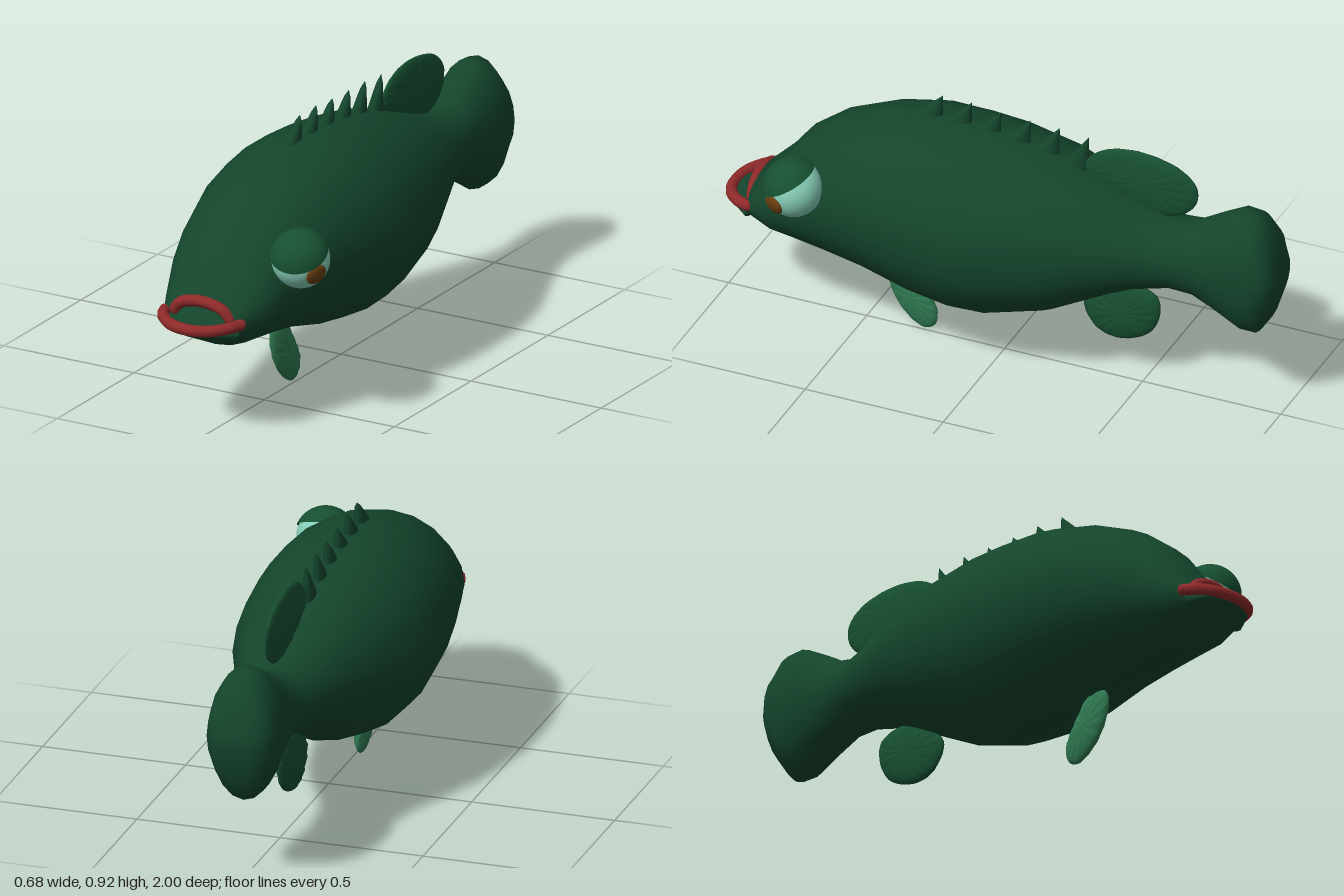
import * as THREE from 'three';

const MID = -0.015; // the body's middle plane in x
const paint = (color) => new THREE.MeshStandardMaterial({ color, roughness: 0.8 });
const green = paint(0x14452c), finGreen = paint(0x174f32), paleGreen = paint(0x2f7a52);
const red = paint(0x8f2a2a), eyeWhite = paint(0x86cdb8), brown = paint(0x6b3f10);

// Closed loft through elliptical rings: [z, top, bottom, half width]
function loft(sections, sides) {
  const pos = [], index = [];
  for (const [z, top, bottom, w] of sections) {
    for (let k = 0; k < sides; k++) {
      const a = (k / sides) * Math.PI * 2;
      pos.push(MID + w * Math.cos(a), (top + bottom) / 2 + ((top - bottom) / 2) * Math.sin(a), z);
    }
  }
  for (let i = 0; i < sections.length - 1; i++) {
    for (let k = 0; k < sides; k++) {
      const a = i * sides + k, b = i * sides + ((k + 1) % sides);
      index.push(a, a + sides, b, b, a + sides, b + sides);
    }
  }
  const g = new THREE.BufferGeometry();
  g.setAttribute('position', new THREE.Float32BufferAttribute(pos, 3));
  g.setIndex(index);
  g.computeVertexNormals();
  return g;
}

// Lens-shaped fin: a sphere stretched to a [z, y] outline, with ribs fanning from its middle
function finGeometry(outline, thickness, ribs) {
  const curve = new THREE.CatmullRomCurve3(outline.map(([z, y]) => new THREE.Vector3(0, y, z)), true);
  const c = new THREE.Vector3();
  outline.forEach(([z, y]) => c.add(new THREE.Vector3(0, y, z)));
  c.divideScalar(outline.length);
  const g = new THREE.SphereGeometry(1, 48, 14).rotateZ(Math.PI / 2);
  const p = g.attributes.position;
  for (let i = 0; i < p.count; i++) {
    const x = p.getX(i), y = p.getY(i), z = p.getZ(i);
    const angle = Math.atan2(y, z), r = Math.min(1, Math.hypot(y, z));
    const edge = curve.getPoint((angle / (Math.PI * 2) + 1) % 1);
    const rib = 1 + 0.15 * r * Math.sin(angle * ribs);
    p.setXYZ(i, MID + thickness * x * rib, c.y + r * (edge.y - c.y), c.z + r * (edge.z - c.z));
  }
  g.computeVertexNormals();
  return g;
}

// Rounded lip along a curve, with ball ends
function lip(name, points, radius) {
  const group = new THREE.Group();
  group.name = name;
  const pts = points.map((p) => new THREE.Vector3(...p));
  const curve = new THREE.CatmullRomCurve3(pts);
  group.add(new THREE.Mesh(new THREE.TubeGeometry(curve, 28, radius, 10), red));
  for (const end of [pts[0], pts[pts.length - 1]]) {
    const ball = new THREE.Mesh(new THREE.SphereGeometry(radius, 10, 8), red);
    ball.position.copy(end);
    group.add(ball);
  }
  return group;
}

export function createModel() {
  const model = new THREE.Group();
  model.name = 'fish';
  const add = (name, geometry, material, parent = model) => {
    const mesh = new THREE.Mesh(geometry, material);
    mesh.name = name;
    parent.add(mesh);
    return mesh;
  };

  // Body with jaw and thick tail, from front to back
  add('body', loft([
    [0.985, 0.395, 0.39, 0.005], [0.98, 0.405, 0.385, 0.05], [0.94, 0.41, 0.362, 0.11],
    [0.885, 0.415, 0.335, 0.145], [0.875, 0.485, 0.33, 0.15], [0.79, 0.57, 0.29, 0.19],
    [0.72, 0.66, 0.28, 0.215], [0.6, 0.75, 0.265, 0.25], [0.45, 0.81, 0.245, 0.29],
    [0.28, 0.845, 0.2, 0.32], [0.13, 0.843, 0.175, 0.327], [0, 0.835, 0.178, 0.32],
    [-0.2, 0.8, 0.235, 0.283], [-0.4, 0.728, 0.338, 0.208], [-0.5, 0.69, 0.382, 0.168],
    [-0.62, 0.655, 0.41, 0.13], [-0.7, 0.672, 0.397, 0.113], [-0.78, 0.72, 0.352, 0.116],
    [-0.86, 0.764, 0.303, 0.122], [-0.92, 0.758, 0.302, 0.122], [-0.965, 0.7, 0.37, 0.113],
    [-0.99, 0.61, 0.45, 0.085], [-1, 0.55, 0.51, 0.05], [-1, 0.53, 0.53, 0.001],
  ], 20), green);

  // Lips
  model.add(lip('lowerLip', [
    [MID - 0.145, 0.412, 0.875], [MID - 0.125, 0.41, 0.92], [MID - 0.07, 0.404, 0.965],
    [MID, 0.402, 0.98], [MID + 0.07, 0.404, 0.965], [MID + 0.125, 0.41, 0.92], [MID + 0.145, 0.412, 0.875],
  ], 0.02));
  model.add(lip('upperLip', [
    [MID - 0.105, 0.425, 0.875], [MID - 0.08, 0.453, 0.88], [MID, 0.472, 0.885],
    [MID + 0.08, 0.453, 0.88], [MID + 0.105, 0.425, 0.875],
  ], 0.02));

  // Row of back-swept dorsal spines: [tip z, tip y, base y]
  const spines = new THREE.Group();
  spines.name = 'dorsalSpines';
  model.add(spines);
  [[0.233, 0.92, 0.83], [0.128, 0.92, 0.825], [0.022, 0.91, 0.82],
    [-0.085, 0.905, 0.805], [-0.19, 0.903, 0.785], [-0.296, 0.893, 0.76]].forEach(([z, tip, base]) => {
    const g = new THREE.ConeGeometry(1, 1, 10, 5).translate(0, 0.5, 0);
    const p = g.attributes.position;
    for (let i = 0; i < p.count; i++) {
      const t = p.getY(i), bulge = 1 / Math.sqrt(Math.max(1 - t, 0.05));
      p.setXYZ(i, MID - 0.005 + p.getX(i) * 0.024 * bulge, base + t * (tip - base), z + 0.05 * (1 - t) + p.getZ(i) * 0.05);
    }
    g.computeVertexNormals();
    add('dorsalSpine', g, green, spines);
  });

  // Soft fins on the middle plane
  add('rearDorsalFin', finGeometry([
    [-0.28, 0.78], [-0.3, 0.82], [-0.36, 0.865], [-0.45, 0.886], [-0.55, 0.88], [-0.64, 0.85],
    [-0.69, 0.8], [-0.69, 0.74], [-0.65, 0.69], [-0.57, 0.66], [-0.45, 0.67], [-0.34, 0.72],
  ], 0.022, 16), finGreen);
  add('analFin', finGeometry([
    [-0.28, 0.25], [-0.32, 0.31], [-0.4, 0.36], [-0.48, 0.365], [-0.55, 0.33], [-0.555, 0.26],
    [-0.52, 0.19], [-0.45, 0.15], [-0.38, 0.143], [-0.32, 0.17],
  ], 0.028, 16), finGreen);
  add('pelvicFin', finGeometry([
    [0.43, 0.21], [0.4, 0.25], [0.35, 0.24], [0.31, 0.185], [0.27, 0.12], [0.25, 0.07],
    [0.258, 0.022], [0.29, 0.002], [0.335, 0.02], [0.385, 0.07], [0.42, 0.14],
  ], 0.026, 14), paleGreen);

  // Single bulging eye on the left side, with heavy lid and iris
  const eye = new THREE.Group();
  eye.name = 'eye';
  eye.position.set(0.235, 0.597, 0.66);
  model.add(eye);
  const up = new THREE.Vector3(0, 1, 0);
  add('eyeball', new THREE.SphereGeometry(0.098, 28, 20), eyeWhite, eye);
  const lidMaterial = finGreen.clone();
  lidMaterial.side = THREE.DoubleSide;
  const lid = add('eyelid', new THREE.SphereGeometry(0.105, 28, 12, 0, Math.PI * 2, 0, 1.22), lidMaterial, eye);
  lid.quaternion.setFromUnitVectors(up, new THREE.Vector3(0.1, 0.87, 0.49).normalize());
  const gaze = new THREE.Vector3(0.85, -0.3, 0.38).normalize();
  const iris = add('iris', new THREE.SphereGeometry(0.038, 20, 12), brown, eye);
  iris.scale.y = 0.4;
  iris.quaternion.setFromUnitVectors(up, gaze);
  iris.position.copy(gaze).multiplyScalar(0.092);

  return model;
}
